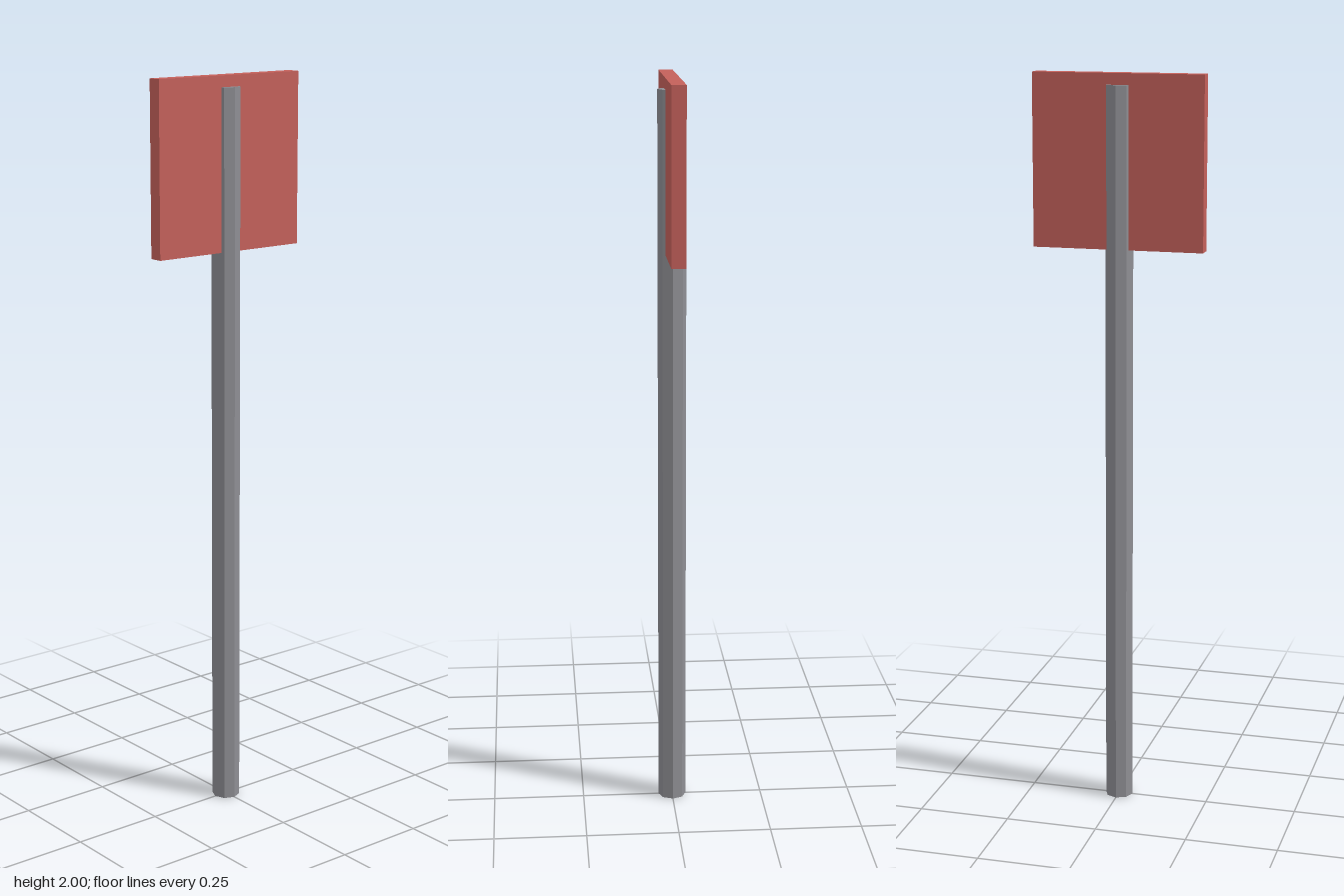
import * as THREE from 'three';

export function createModel() {
  const model = new THREE.Group();
  model.name = 'signPost';

  const steel = new THREE.MeshStandardMaterial({ color: 0x8e8e93, flatShading: true });
  steel.name = 'grey steel';
  const red = new THREE.MeshStandardMaterial({ color: 0xc4605a });
  red.name = 'sign red';

  // Octagonal pole, corners facing front and back
  const poleHeight = 1.97;
  const pole = new THREE.Mesh(new THREE.CylinderGeometry(0.038, 0.038, poleHeight, 8), steel);
  pole.name = 'pole';
  pole.position.y = poleHeight / 2;

  // Square sign plate, with the pole running through its middle
  const plateHeight = 0.457;
  const plate = new THREE.Mesh(new THREE.BoxGeometry(0.46, plateHeight, 0.038), red);
  plate.name = 'signPlate';
  plate.position.y = 2 - plateHeight / 2;

  model.add(pole, plate);
  return model;
}
